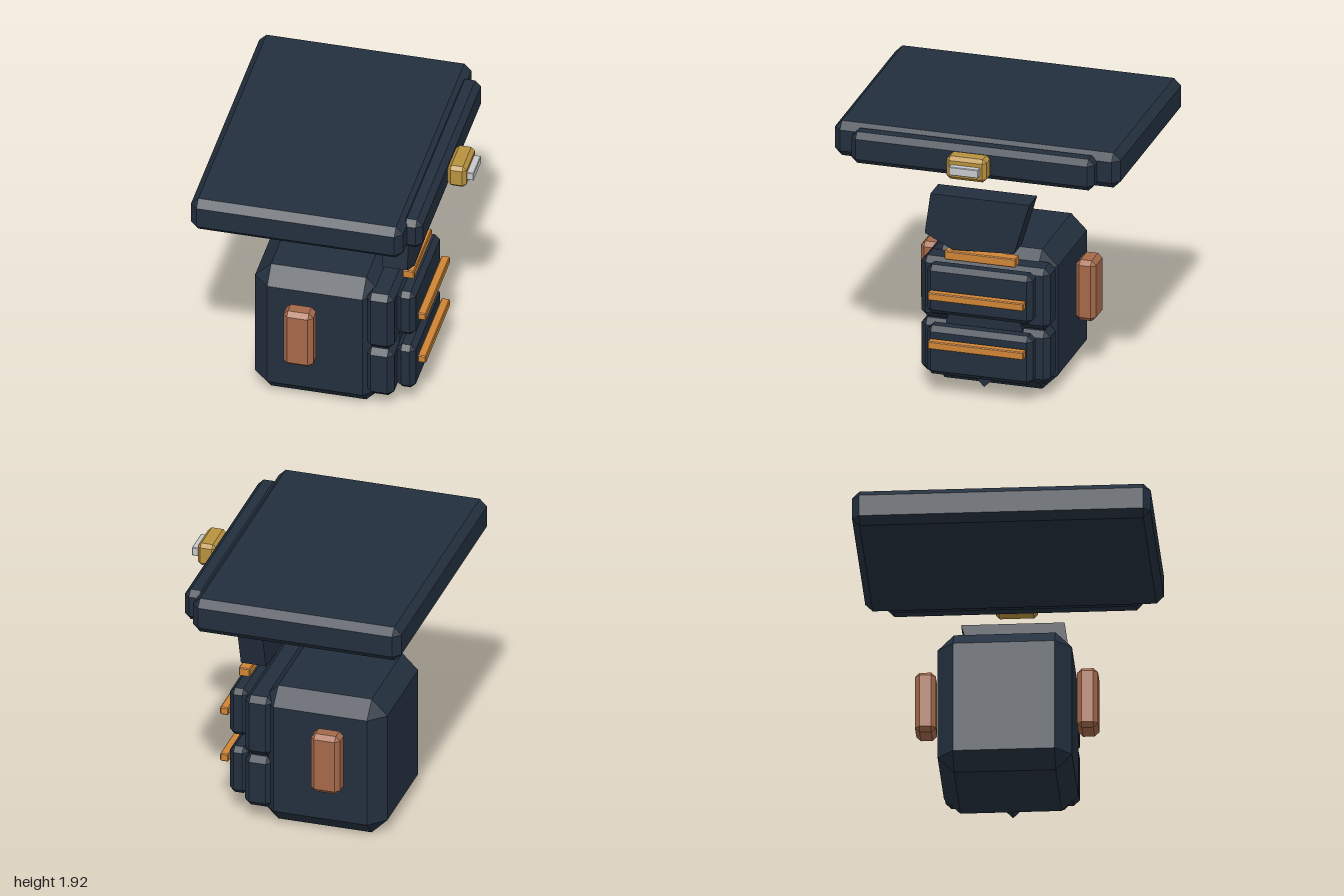
import * as THREE from 'three';
import { ConvexGeometry } from 'three/addons/geometries/ConvexGeometry.js';

const paint = (name, color) => {
  const m = new THREE.MeshStandardMaterial({ color });
  m.name = name;
  return m;
};

// Box between two corners with every edge cut by the given chamfer
function chamferBox([x0, x1], [y0, y1], [z0, z1], c) {
  const half = new THREE.Vector3(x1 - x0, y1 - y0, z1 - z0).multiplyScalar(0.5);
  const points = [];
  for (const sx of [-1, 1]) for (const sy of [-1, 1]) for (const sz of [-1, 1]) {
    for (const axis of [0, 1, 2]) {
      const p = half.clone().subScalar(c);
      p.setComponent(axis, half.getComponent(axis));
      points.push(p.multiply(new THREE.Vector3(sx, sy, sz)));
    }
  }
  const g = new ConvexGeometry(points);
  g.translate((x0 + x1) / 2, (y0 + y1) / 2, (z0 + z1) / 2);
  return g;
}

// Prism along x from an outline of [z, y] points
function prismX(outline, x0, x1) {
  const shape = new THREE.Shape(outline.map(([z, y]) => new THREE.Vector2(-z, y)));
  const g = new THREE.ExtrudeGeometry(shape, { depth: x1 - x0, bevelEnabled: false });
  g.rotateY(Math.PI / 2);
  g.translate(x0, 0, 0);
  return g;
}

export function createModel() {
  const navy = paint('navy', 0x232f3e);
  const copper = paint('copper', 0xa5694a);
  const orange = paint('orange', 0xcf8535);
  const gold = paint('gold', 0xb8923e);
  const silver = paint('silver', 0xc6c8ca);

  const model = new THREE.Group();
  const add = (name, geometry, material) => {
    const mesh = new THREE.Mesh(geometry, material);
    mesh.name = name;
    model.add(mesh);
  };

  // Floating top slab with its edge plate and latch
  add('topSlab', chamferBox([-0.87, 0.59], [1.675, 1.925], [-1, 1], 0.05), navy);
  add('slabEdge', chamferBox([0.54, 0.69], [1.68, 1.905], [-0.85, 0.85], 0.04), navy);
  add('latch', chamferBox([0.69, 0.82], [1.71, 1.875], [-0.14, 0.14], 0.025), gold);
  add('latchPin', chamferBox([0.81, 0.865], [1.763, 1.823], [-0.103, 0.103], 0.004), silver);

  // Angled wedge between slab and body
  add('wedge', prismX([[0.35, 1.445], [0.39, 1.157], [0.195, 1.057], [-0.235, 1.08], [-0.343, 1.445]], 0.305, 0.48), navy);

  // Main body
  add('body', chamferBox([-0.58, 0.295], [0, 1.01], [-0.45, 0.45], 0.11), navy);

  // Stacked plates, panels and bars on the +x side
  for (const [name, plateY, panelY, barY] of [
    ['upper', [0.505, 0.945], [0.59, 0.94], [0.72, 0.775]],
    ['lower', [0.115, 0.495], [0.15, 0.5], [0.367, 0.423]],
  ]) {
    add(name + 'Plate', chamferBox([0.2, 0.395], plateY, [-0.45, 0.45], 0.04), navy);
    add(name + 'Panel', chamferBox([0.395, 0.525], panelY, [-0.37, 0.37], 0.035), navy);
    add(name + 'Bar', chamferBox([0.537, 0.595], barY, [-0.335, 0.335], 0.006), orange);
  }
  add('topBar', chamferBox([0.412, 0.492], [0.985, 1.048], [-0.25, 0.25], 0.006), orange);

  // Pointed spine filling the gap between the plates
  add('spine', prismX([[0, 0.055], [-0.265, 0.32], [-0.265, 0.505], [-0.25, 0.56],
    [-0.25, 0.7], [0, 0.88], [0.25, 0.7], [0.25, 0.56], [0.265, 0.505], [0.265, 0.32]], 0.23, 0.396), navy);

  // Side pods, mirrored
  for (const [name, z] of [['frontPod', 0.543], ['backPod', -0.543]]) {
    add(name, chamferBox([-0.325, -0.12], [0.385, 0.822], [z - 0.07, z + 0.07], 0.031), copper);
  }
  return model;
}
